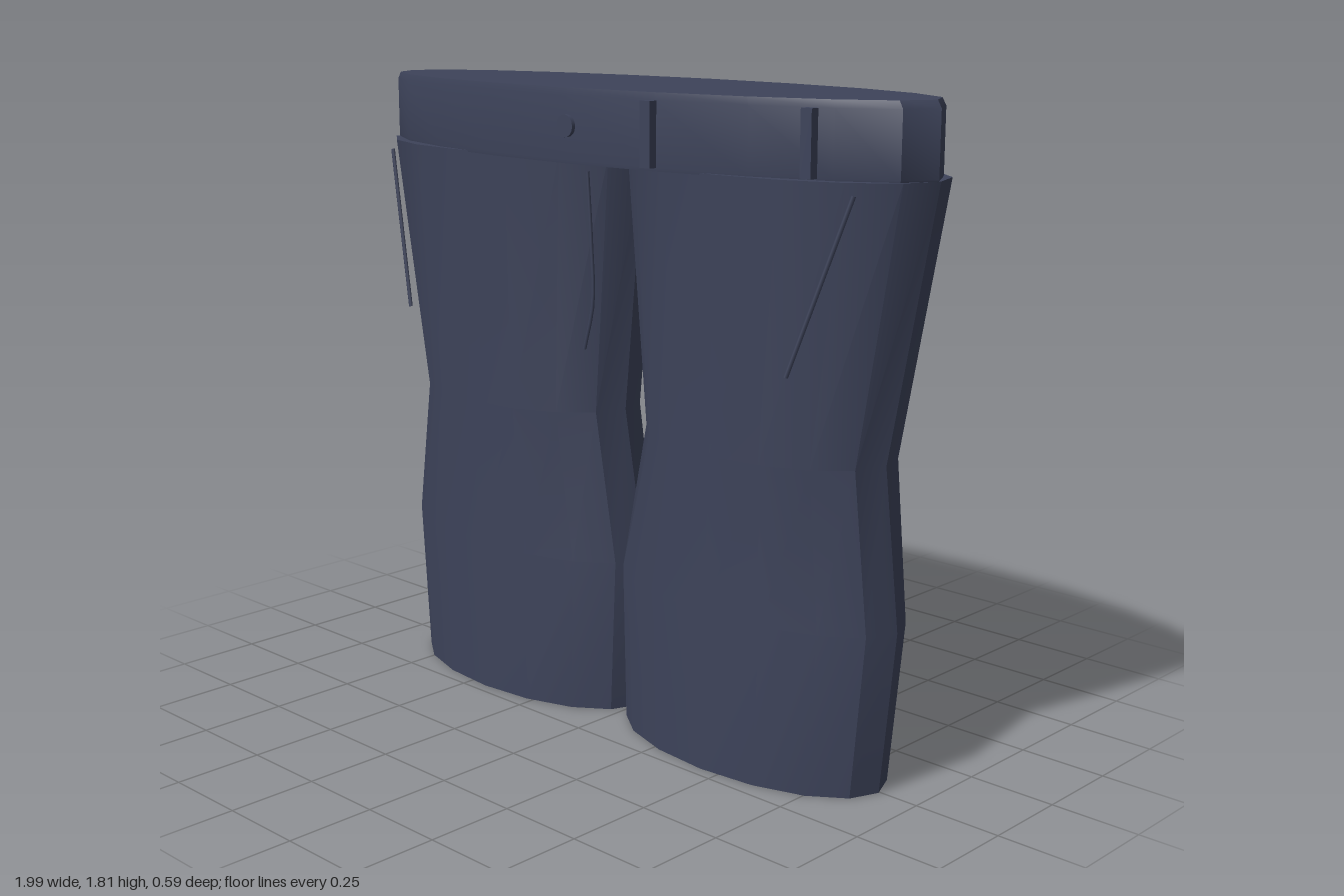
import * as THREE from 'three';
import { toCreasedNormals } from 'three/addons/utils/BufferGeometryUtils.js';

const CREASE = 0.5;

export function createModel() {
  const group = new THREE.Group();
  group.name = 'trousers';
  const cloth = new THREE.MeshStandardMaterial({ color: 0x3d435a });
  cloth.name = 'navy cloth';

  const add = (name, geometry, x = 0, y = 0, z = 0) => {
    const mesh = new THREE.Mesh(geometry, cloth);
    mesh.name = name;
    mesh.position.set(x, y, z);
    group.add(mesh);
    return mesh;
  };

  // Leg sections, hem to waist: y, centre x, half width, centre z, half depth
  const sections = [
    [0, 0.44, 0.442, 0.005, 0.212],
    [0.45, 0.45, 0.47, -0.003, 0.222],
    [0.88, 0.465, 0.395, -0.016, 0.236],
    [1.615, 0.4975, 0.4975, -0.019, 0.265],
  ];
  const legGeometry = (side) => {
    const g = new THREE.CylinderGeometry(1, 1, 3, 16, 3);
    const p = g.attributes.position;
    for (let i = 0; i < p.count; i++) {
      const [y, cx, rx, cz, rz] = sections[Math.round(p.getY(i) + 1.5)];
      p.setXYZ(i, side * cx + p.getX(i) * rx, y, cz + p.getZ(i) * rz);
    }
    return toCreasedNormals(g, CREASE);
  };

  // Legs, slanted front pocket seams and back pocket flaps
  for (const side of [1, -1]) {
    const label = side > 0 ? 'left' : 'right';
    add(label + 'Leg', legGeometry(side));

    const seam = new THREE.LineCurve3(
      new THREE.Vector3(side * 0.873, 1.585, 0.165),
      new THREE.Vector3(side * 0.727, 1.13, 0.231));
    add(label + 'PocketSeam', new THREE.TubeGeometry(seam, 1, 0.006, 6));

    add(label + 'BackPocketFlap', new THREE.BoxGeometry(0.345, 0.055, 0.022), side * 0.475, 1.445, -0.282);
  }

  // Closed oval waistband with a slightly rounded top edge
  const profile = [[0, 1.61], [0.995, 1.61], [1, 1.62], [1, 1.79], [0.988, 1.81], [0, 1.81]]
    .map(([r, y]) => new THREE.Vector2(r, y));
  const band = new THREE.LatheGeometry(profile, 20);
  band.scale(0.995, 1, 0.285);
  add('waistband', toCreasedNormals(band, CREASE), 0, 0, -0.01);

  // Belt loops
  for (const x of [0.3, 0.755]) {
    for (const side of [1, -1]) {
      const z = side * 0.285 * Math.sqrt(1 - x * x);
      add('beltLoop', new THREE.BoxGeometry(0.034, 0.17, 0.025), x, 1.705, z + side * 0.006);
    }
  }

  // Waist button
  const button = add('button', new THREE.CylinderGeometry(0.03, 0.03, 0.02, 16), 0, 1.71, 0.275);
  button.rotation.x = Math.PI / 2;

  // Curved fly seam
  const fly = new THREE.CatmullRomCurve3([
    new THREE.Vector3(0.075, 1.595, 0.273),
    new THREE.Vector3(0.08, 1.4, 0.265),
    new THREE.Vector3(0.077, 1.24, 0.258),
    new THREE.Vector3(0.038, 1.11, 0.252),
  ]);
  add('flySeam', new THREE.TubeGeometry(fly, 12, 0.005, 6));

  return group;
}
